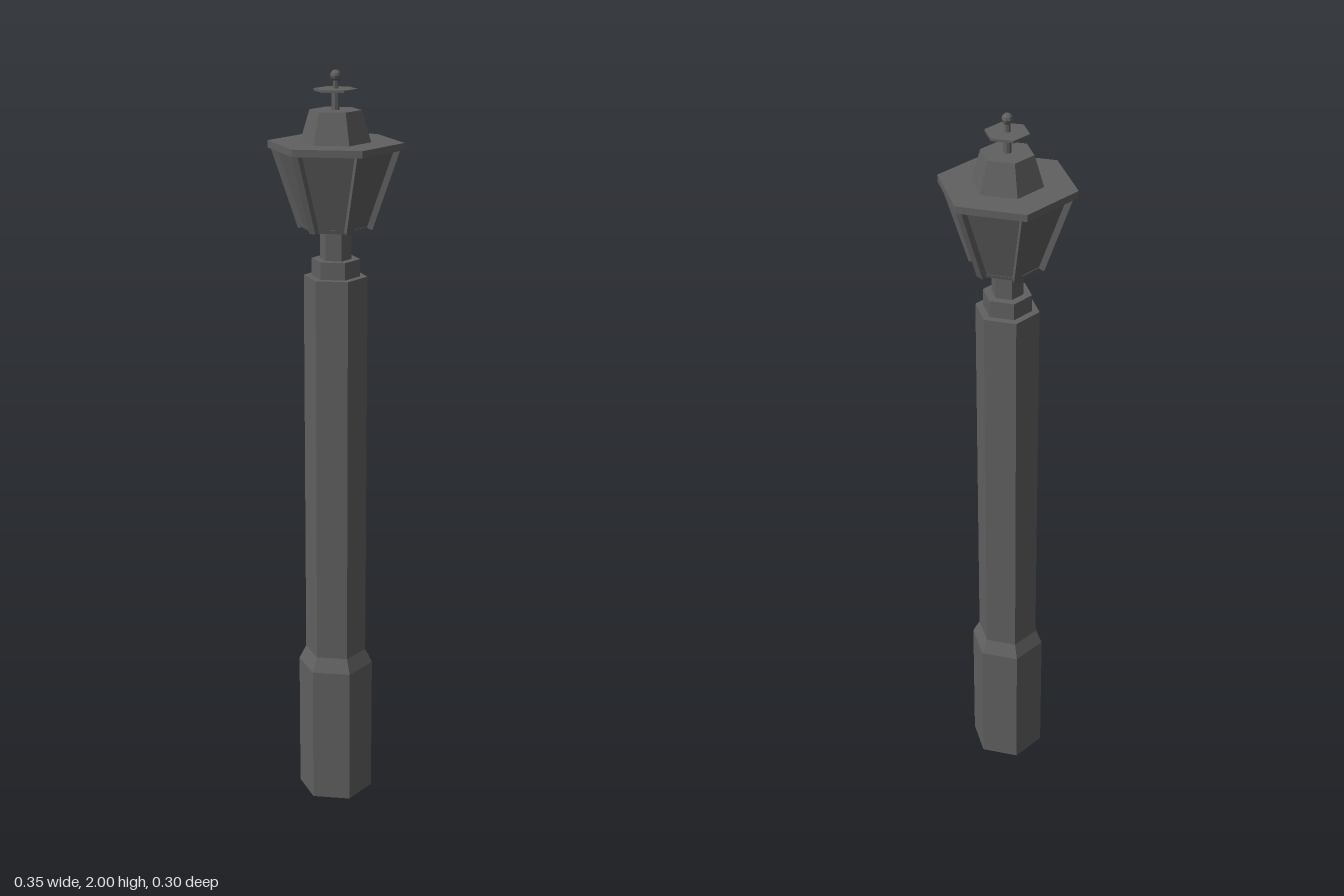
import * as THREE from 'three';

const metal = new THREE.MeshStandardMaterial({ color: 0x606060, flatShading: true });
const glass = new THREE.MeshStandardMaterial({ color: 0xd8cc90, flatShading: true });

export function createModel() {
  const model = new THREE.Group();
  model.name = 'streetLamp';

  const add = (name, geometry, material = metal, parent = model) => {
    const mesh = new THREE.Mesh(geometry, material);
    mesh.name = name;
    parent.add(mesh);
    return mesh;
  };

  // Six-sided frustum with corners on the x axis
  const hex = (name, rBottom, rTop, y0, y1, material) => {
    const g = new THREE.CylinderGeometry(rTop, rBottom, y1 - y0, 6, 1, false, Math.PI / 6);
    add(name, g, material).position.y = (y0 + y1) / 2;
  };

  // Post
  hex('base', 0.102, 0.102, 0, 0.386);
  hex('baseTaper', 0.102, 0.083, 0.386, 0.425);
  hex('shaft', 0.083, 0.083, 0.425, 1.48);
  hex('collar', 0.063, 0.063, 1.48, 1.525);
  hex('neck', 0.041, 0.041, 1.525, 1.607);

  // Lantern
  hex('lanternFloor', 0.087, 0.09, 1.603, 1.612);
  hex('lanternGlass', 0.088, 0.154, 1.612, 1.806);
  hex('lid', 0.174, 0.174, 1.805, 1.823);
  hex('roof', 0.09, 0.066, 1.823, 1.902);

  // Sloping bars along the glass corners
  const bottom = new THREE.Vector2(0.086, 1.606);
  const top = new THREE.Vector2(0.155, 1.81);
  const run = top.clone().sub(bottom);
  const barGeometry = new THREE.BoxGeometry(0.02, run.length(), 0.02);
  for (let i = 0; i < 6; i++) {
    const corner = new THREE.Group();
    corner.name = 'lanternCorner';
    corner.rotation.y = (i * Math.PI) / 3;
    const bar = add('lanternBar', barGeometry, metal, corner);
    bar.position.set((bottom.x + top.x) / 2, (bottom.y + top.y) / 2, 0);
    bar.rotation.z = -Math.atan2(run.x, run.y);
    model.add(corner);
  }

  // Finial
  add('finialStem', new THREE.CylinderGeometry(0.01, 0.01, 0.05, 8)).position.y = 1.926;
  hex('finialDisc', 0.055, 0.055, 1.948, 1.954);
  add('finialRod', new THREE.CylinderGeometry(0.007, 0.007, 0.03, 8)).position.y = 1.967;
  add('finialBall', new THREE.SphereGeometry(0.014, 8, 6)).position.y = 1.986;

  return model;
}
